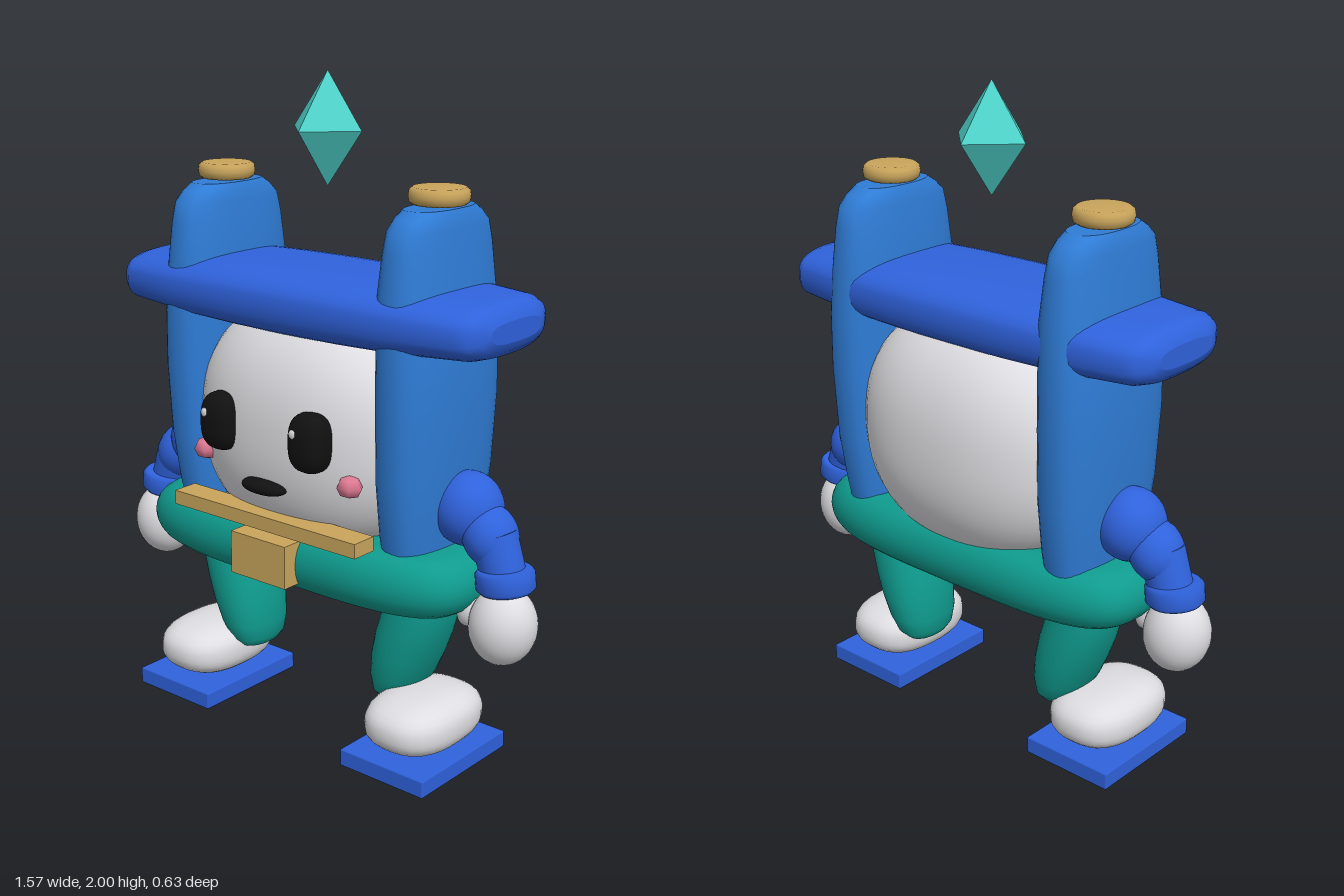
import * as THREE from 'three';
import { mergeVertices } from 'three/addons/utils/BufferGeometryUtils.js';
import { RoundedBoxGeometry } from 'three/addons/geometries/RoundedBoxGeometry.js';

const mat = (name, color) => {
  const m = new THREE.MeshStandardMaterial({ color });
  m.name = name;
  return m;
};

// Rounded blob: a sphere pushed towards a box as the exponent e grows
function blob(rx, ry, rz, e = 2, w = 32, h = 20) {
  let g = new THREE.SphereGeometry(1, w, h);
  const p = g.attributes.position;
  for (let i = 0; i < p.count; i++) {
    const v = new THREE.Vector3().fromBufferAttribute(p, i);
    const k = Math.pow(Math.abs(v.x) ** e + Math.abs(v.y) ** e + Math.abs(v.z) ** e, -1 / e);
    p.setXYZ(i, v.x * k * rx, v.y * k * ry, v.z * k * rz);
  }
  g.deleteAttribute('uv');
  g.deleteAttribute('normal');
  g = mergeVertices(g, 1e-5);
  g.computeVertexNormals();
  return g;
}

// Loft up the y axis through superellipse sections [y, cx, cz, rx, rz], with flat caps
function loft(sections, e, n = 36) {
  const rings = [sections[0], ...sections, sections[sections.length - 1]];
  const pos = [], idx = [];
  const pw = (v) => Math.sign(v) * Math.abs(v) ** (2 / e);
  for (const [y, cx, cz, rx, rz] of rings)
    for (let i = 0; i < n; i++) {
      const a = (i / n) * Math.PI * 2;
      pos.push(cx + rx * pw(Math.cos(a)), y, cz + rz * pw(Math.sin(a)));
    }
  for (let r = 0; r < rings.length - 1; r++)
    for (let i = 0; i < n; i++) {
      const a = r * n + i, b = r * n + (i + 1) % n;
      idx.push(a, a + n, b, b, a + n, b + n);
    }
  const last = (rings.length - 1) * n, c = pos.length / 3;
  for (const [y, cx, cz] of [rings[0], rings[rings.length - 1]]) pos.push(cx, y, cz);
  for (let i = 0; i < n; i++) {
    const j = (i + 1) % n;
    idx.push(c, i, j, c + 1, last + j, last + i);
  }
  const g = new THREE.BufferGeometry();
  g.setAttribute('position', new THREE.Float32BufferAttribute(pos, 3));
  g.setIndex(idx);
  g.computeVertexNormals();
  return g;
}

export function createModel() {
  const root = new THREE.Group();
  root.name = 'gateRobot';
  const royal = mat('royalBlue', 0x2f62dc), sky = mat('skyBlue', 0x2f7cd6);
  const teal = mat('teal', 0x0f9b8e), white = mat('white', 0xdedee2);
  const gold = mat('gold', 0xc9a55c), aqua = mat('aqua', 0x4fd4cc);
  const black = mat('black', 0x111111), pink = mat('pink', 0xe07a94);

  const add = (name, geo, m, x = 0, y = 0, z = 0, rz = 0) => {
    const mesh = new THREE.Mesh(geo, m);
    mesh.name = name;
    mesh.position.set(x, y, z);
    mesh.rotation.z = rz;
    root.add(mesh);
    return mesh;
  };

  // Head
  add('head', blob(0.42, 0.38, 0.297, 2.3, 48, 32), white, 0, 0.96, -0.02);
  add('mouth', blob(0.08, 0.022, 0.04, 2.3), black, 0, 0.82, 0.268);

  // Crossbeam, lofted then laid along x
  const half = [[0.685, 0.03, 0.12], [0.675, 0.055, 0.15], [0.655, 0.072, 0.185],
    [0.62, 0.082, 0.21], [0.4, 0.096, 0.237], [0.2, 0.102, 0.244]];
  const beam = loft([
    ...half.map(([p, a, b]) => [-p, 0, 0, a, b]),
    [0, 0, 0, 0.104, 0.246],
    ...half.slice().reverse().map(([p, a, b]) => [p, 0, 0, a, b]),
  ], 2.8);
  beam.rotateZ(Math.PI / 2);
  add('crossbeam', beam, royal, 0, 1.347, 0);

  // Hip beam with round edges
  const hip = [];
  for (let i = 0; i <= 12; i++) {
    const t = -Math.PI / 2 + (i / 12) * Math.PI;
    const c = Math.cos(t) ** 0.8;
    hip.push([0.59 + 0.095 * Math.sin(t), 0, 0.002, 0.49 + 0.12 * c, 0.165 + 0.089 * c]);
  }
  add('hipBeam', loft(hip, 3.6, 48), teal);
  add('collarPlate', new THREE.BoxGeometry(0.714, 0.044, 0.085), gold, 0, 0.71, 0.243);
  add('buckle', new THREE.BoxGeometry(0.214, 0.132, 0.1), gold, 0, 0.599, 0.251);

  // Floating crystal
  const gem = new THREE.OctahedronGeometry(1).scale(0.128, 0.166, 0.128);
  add('crystal', gem, aqua, 0, 1.835, -0.017);

  for (const s of [1, -1]) {
    const side = s > 0 ? 'left' : 'right';
    const put = (name, geo, m, x, y, z, rz = 0) => add(side + name, geo, m, s * x, y, z, s * rz);

    // Pillar and its cap
    const pillar = [
      [0.6, 0.4, 0.085, 0.175], [0.72, 0.402, 0.094, 0.2], [0.88, 0.407, 0.103, 0.222],
      [1.1, 0.412, 0.108, 0.232], [1.27, 0.411, 0.107, 0.232], [1.42, 0.405, 0.1, 0.226],
      [1.54, 0.405, 0.088, 0.212], [1.6, 0.405, 0.081, 0.198], [1.63, 0.405, 0.076, 0.165],
      [1.652, 0.405, 0.066, 0.13],
    ].map(([y, cx, rx, rz]) => [y, s * cx, -0.016, rx, rz]);
    add(side + 'Pillar', loft(pillar, 2.5), sky);
    const cap = new THREE.LatheGeometry([[0, 0], [0.075, 0], [0.085, 0.008], [0.088, 0.024],
      [0.085, 0.04], [0.075, 0.048], [0, 0.048]].map(([x, y]) => new THREE.Vector2(x, y)), 32);
    put('PillarCap', cap, gold, 0.405, 1.658, -0.016);

    // Face
    put('Eye', blob(0.063, 0.088, 0.058, 2.8), black, 0.173, 0.987, 0.258);
    add(side + 'EyeGlint', blob(0.014, 0.014, 0.006, 2, 12, 8), white, s * 0.173 - 0.024, 1.018, 0.312);
    put('Cheek', new THREE.SphereGeometry(1, 6, 4).scale(0.043, 0.034, 0.038), pink, 0.283, 0.868, 0.218);

    // Arm
    put('Shoulder', blob(0.105, 0.11, 0.105), royal, 0.53, 0.8, -0.014);
    put('Elbow', blob(0.08, 0.095, 0.085), royal, 0.615, 0.74, -0.005, 0.45);
    put('Forearm', new THREE.CylinderGeometry(0.07, 0.065, 0.13, 24), royal, 0.65, 0.685, 0, 0.35);
    const cuff = new THREE.LatheGeometry([[0, -0.034], [0.075, -0.034], [0.086, -0.022],
      [0.086, 0.022], [0.075, 0.034], [0, 0.034]].map(([x, y]) => new THREE.Vector2(x, y)), 28);
    put('Cuff', cuff, royal, 0.678, 0.625, 0.005, 0.12);
    put('Hand', blob(0.1, 0.118, 0.098), white, 0.683, 0.492, 0.018, -0.1);
    put('Thumb', blob(0.038, 0.055, 0.042), white, 0.575, 0.515, 0.025, -0.25);

    // Leg, foot and sole
    const leg = [
      [0.142, 0.29, 0.02, 0.04], [0.155, 0.291, 0.045, 0.075], [0.18, 0.297, 0.068, 0.1],
      [0.23, 0.309, 0.086, 0.117], [0.3, 0.327, 0.1, 0.125], [0.37, 0.347, 0.107, 0.125],
      [0.45, 0.37, 0.106, 0.122], [0.56, 0.388, 0.095, 0.11],
    ].map(([y, cx, rx, rz]) => [y, s * cx, -0.015, rx, rz]);
    add(side + 'Leg', loft(leg, 2.2), teal);
    put('Foot', blob(0.141, 0.085, 0.195, 2.6), white, 0.427, 0.138, 0.04);
    put('Sole', new RoundedBoxGeometry(0.306, 0.053, 0.413, 1, 0.004), royal, 0.427, 0.0265, 0.0415);
  }
  return root;
}
